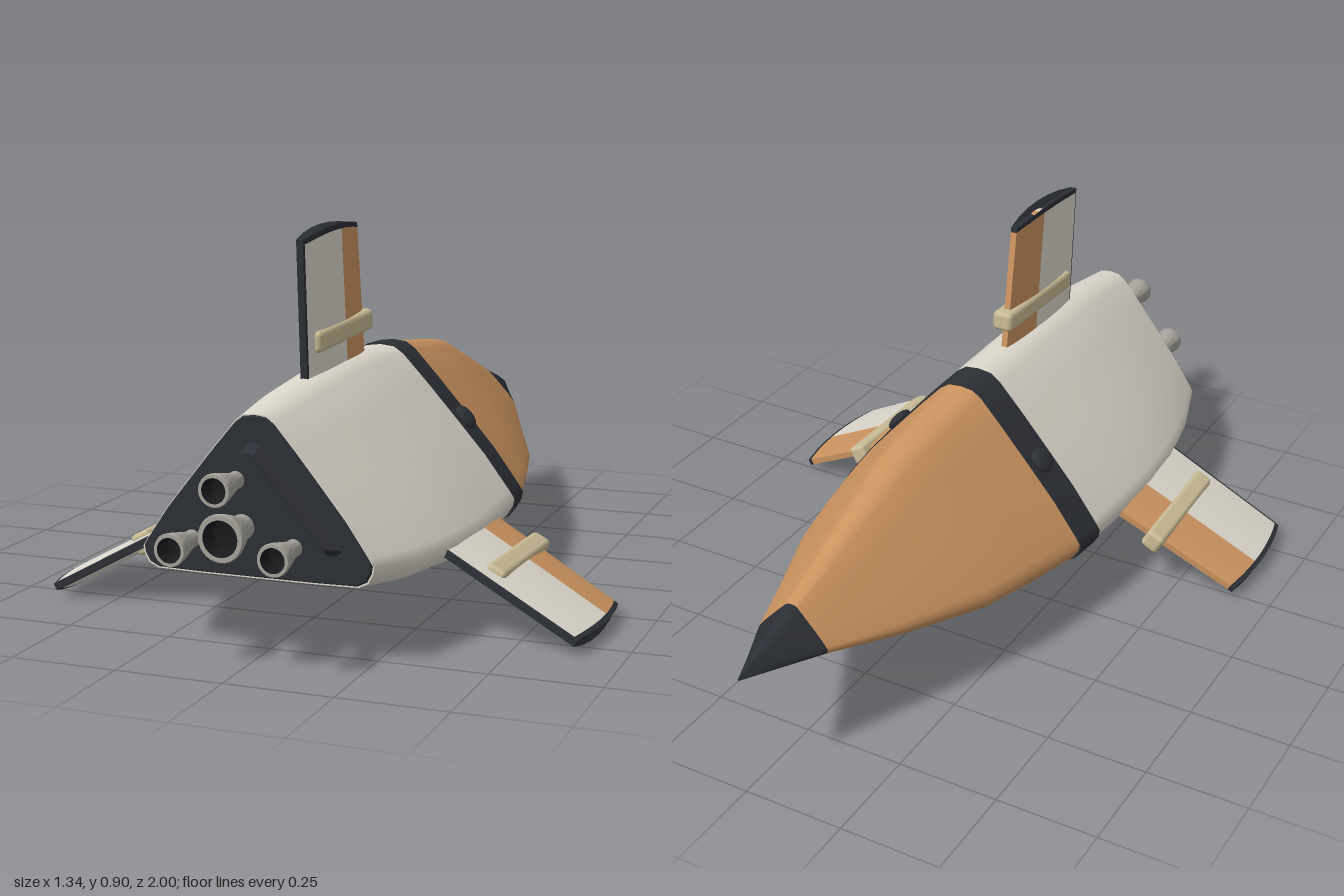
import * as THREE from 'three';
import { toCreasedNormals } from 'three/addons/utils/BufferGeometryUtils.js';
import { RoundedBoxGeometry } from 'three/addons/geometries/RoundedBoxGeometry.js';

const paint = (color, side = THREE.FrontSide) => new THREE.MeshStandardMaterial({ color, side });
const WHITE = paint(0xddd8cc), ORANGE = paint(0xcc9460), DARK = paint(0x2c2f35), TAN = paint(0xcabc96);
const STEEL = paint(0xa5a29a, THREE.DoubleSide), SOOT = paint(0x181a1c, THREE.DoubleSide);

function part(name, geometry, material, parent) {
  const mesh = new THREE.Mesh(geometry, material);
  mesh.name = name;
  parent.add(mesh);
  return mesh;
}

// Skin rings of [x, y, z] points that turn counter-clockwise about the direction of travel
function loft(rings, crease = 0.8) {
  const n = rings[0].length, index = [];
  const last = (rings.length - 1) * n;
  for (let i = 0; i < rings.length - 1; i++) {
    for (let j = 0; j < n; j++) {
      const a = i * n + j, b = i * n + (j + 1) % n;
      index.push(a, b, b + n, a, b + n, a + n);
    }
  }
  for (let j = 1; j < n - 1; j++) index.push(0, j + 1, j, last, last + j, last + j + 1);
  const g = new THREE.BufferGeometry();
  g.setAttribute('position', new THREE.Float32BufferAttribute(rings.flat(2), 3));
  g.setIndex(index);
  return toCreasedNormals(g, crease);
}

// Hull stations: z, half width, top y, bottom y
const STATIONS = [
  [-1, 0.002, 0.318, 0.314], [-0.92, 0.035, 0.347, 0.3], [-0.79, 0.093, 0.387, 0.28],
  [-0.6, 0.17, 0.453, 0.233], [-0.36, 0.265, 0.535, 0.19], [-0.2, 0.305, 0.558, 0.177],
  [-0.03, 0.34, 0.579, 0.165], [0.06, 0.348, 0.583, 0.163], [0.2, 0.355, 0.588, 0.159],
  [0.35, 0.358, 0.588, 0.158], [0.5, 0.349, 0.58, 0.162], [0.67, 0.318, 0.566, 0.17], [0.82, 0.27, 0.545, 0.185],
];
// Rounded triangle, right half from bottom to top, in fractions of half width and height
const HALF = [[0.5, 0], [0.87, 0.005], [0.95, 0.035], [0.99, 0.09], [1, 0.135], [0.96, 0.185],
  [0.78, 0.385], [0.57, 0.585], [0.35, 0.79], [0.17, 0.95], [0.1, 0.99]];
const SECTION = [[0, 0], ...HALF, [0, 1], ...HALF.map(([u, v]) => [-u, v]).reverse()];

function hullRing([z, w, top, bottom], grow = 0) {
  return SECTION.map(([u, v]) => [u * (w + grow), bottom - grow + v * (top - bottom + 2 * grow), z]);
}
const hull = (from, to, grow) => loft(STATIONS.slice(from, to + 1).map((s) => hullRing(s, grow)));

// Fin surface point: s runs along the chord, t from root to tip, side is -1 or 1
function finPoint(s, t, side) {
  const half = 0.008 + 0.012 * Math.pow(Math.max(0, Math.sin(Math.PI * s)), 0.7);
  const tipY = -0.06 * (s - 0.4) ** 2;
  return [side * half, THREE.MathUtils.lerp(-0.42, tipY, t), 0.18 + 0.06 * t + s * (0.365 - 0.035 * t)];
}
function finPanel(s0, s1, t0, t1) {
  const steps = [0, 1, 2, 3, 4, 5, 6].map((i) => s0 + (s1 - s0) * i / 6);
  const ring = (t) => [
    ...[...steps].reverse().map((s) => finPoint(s, t, 1)),
    ...steps.map((s) => finPoint(s, t, -1)),
  ];
  return loft([ring(t0), ring(t1)], 0.6);
}

function makeFin(name, x, y, angle) {
  const fin = new THREE.Group();
  fin.name = name;
  part('finLeadingPanel', finPanel(0, 0.39, 0, 0.97), ORANGE, fin);
  part('finRearPanel', finPanel(0.39, 0.98, 0, 0.97), WHITE, fin);
  part('finTrailingEdge', finPanel(0.98, 1, 0, 0.97), DARK, fin);
  part('finTip', finPanel(0, 1, 0.97, 1), DARK, fin);
  const strap = part('finStrap', new RoundedBoxGeometry(0.054, 0.05, 0.34, 2, 0.012), TAN, fin);
  strap.position.set(0, -0.252, 0.347);
  strap.rotation.x = 0.035;
  fin.position.set(x, y, 0);
  fin.rotation.z = angle;
  return fin;
}

// Triangular engine plate ring
const CORNERS = [[0.19, 0.25], [0.205, 0.262], [0.015, 0.485], [-0.015, 0.485], [-0.205, 0.262], [-0.19, 0.25]];
const plateRing = (z, k) => CORNERS.map(([x, y]) => [x * k, 0.335 + (y - 0.335) * k, z]);

function makeNozzle(x, y, r) {
  const nozzle = new THREE.Group();
  nozzle.name = 'nozzle';
  const lathe = (pts) => toCreasedNormals(
    new THREE.LatheGeometry(pts.map(([a, b]) => new THREE.Vector2(a * r, b)), 28), 0.6);
  part('nozzleBell', lathe([[0.55, 0], [0.52, 0.025], [0.62, 0.045], [0.8, 0.075],
    [0.97, 0.105], [1, 0.115], [0.96, 0.12], [0.76, 0.12]]), STEEL, nozzle);
  part('nozzleThroat', lathe([[0.76, 0.12], [0.64, 0.08], [0, 0.07]]), SOOT, nozzle);
  nozzle.rotation.x = Math.PI / 2;
  nozzle.position.set(x, y, 0.88);
  return nozzle;
}

export function createModel() {
  const model = new THREE.Group();
  model.name = 'rocketShip';

  // Hull
  part('noseTip', hull(0, 2), DARK, model);
  part('noseCone', hull(2, 6), ORANGE, model);
  part('collarBand', hull(6, 7, 0.004), DARK, model);
  part('rearHull', hull(7, 12), WHITE, model);
  const end = STATIONS[12];
  part('rearBulkhead', loft([hullRing(end, -0.003), hullRing([0.825, ...end.slice(1)], -0.006)]), DARK, model);

  // Round lamps on the three faces of the collar
  for (const [x, y, turn] of [[0.208, 0.405, -0.87], [-0.208, 0.405, 0.87], [0, 0.16, 0]]) {
    const lamp = part('collarLamp', new THREE.SphereGeometry(0.034, 24, 16), DARK, model);
    lamp.scale.y = 0.42;
    lamp.position.set(x, y, 0.015);
    lamp.rotation.z = turn;
  }

  // Fins
  model.add(makeFin('topFin', 0, 0.91, 0));
  for (const side of [1, -1]) {
    model.add(makeFin(side > 0 ? 'leftFin' : 'rightFin', side * 0.66, 0.024, -side * 2.07));
  }

  // Engines
  part('engineMount', loft([plateRing(0.82, 1), plateRing(0.885, 0.72)], 0.3), DARK, model);
  part('enginePlate', loft([plateRing(0.88, 0.92), plateRing(0.89, 0.92)], 0.3), DARK, model);
  for (const [x, y, r] of [[0, 0.315, 0.052], [-0.013, 0.415, 0.036], [-0.117, 0.28, 0.036], [0.117, 0.28, 0.036]]) {
    model.add(makeNozzle(x, y, r));
  }
  return model;
}
